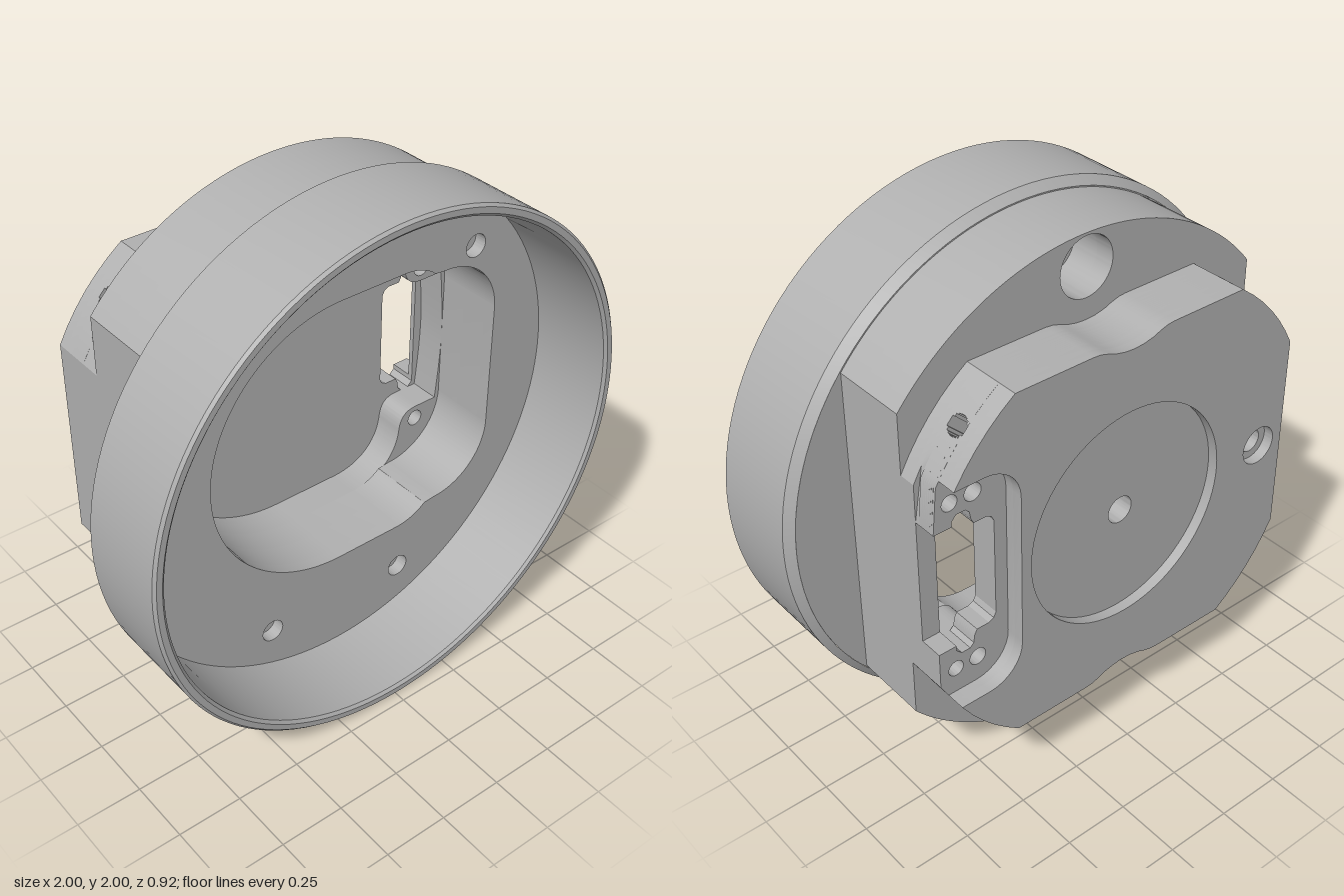
import * as THREE from 'three';
import { toCreasedNormals } from 'three/addons/utils/BufferGeometryUtils.js';

const PI = Math.PI;
const PAD_R = 0.84, PAD_X = 0.745, PAD_Y = 0.69;

// Circular hole at (x, y)
const hole = (x, y, r) => new THREE.Path().absarc(x, y, r, 0, 2 * PI, true);
const disc = (r) => new THREE.Shape().absarc(0, 0, r, 0, 2 * PI);

// Flange: disc with two flats
function flangeShape() {
  const r = 0.965, a = Math.acos(PAD_X / r), s = new THREE.Shape();
  s.absarc(0, 0, r, a, PI - a);
  s.absarc(0, 0, r, PI + a, 2 * PI - a);
  return s;
}

// Wide cavity mouth, including the side lobe
function wideCavity() {
  const p = new THREE.Path();
  p.absarc(0, 0, 0.555, PI / 2, 1.5 * PI);
  p.lineTo(0.28, -0.555);
  p.quadraticCurveTo(0.36, -0.55, 0.41, -0.505);
  p.absarc(0.46, -0.25, 0.25, -PI / 2, 0);
  p.absarc(0.46, 0.25, 0.25, 0, PI / 2);
  p.lineTo(0.41, 0.505);
  p.quadraticCurveTo(0.36, 0.55, 0.28, 0.555);
  return p;
}

// Deep cavity, narrowing around the screw bosses; optional bump on the -x wall
function deepCavity(bump) {
  const p = new THREE.Path(), a = 0.467;
  if (bump) {
    p.absarc(0, 0, 0.555, PI / 2, PI - a);
    p.bezierCurveTo(-0.495, 0.13, -0.43, 0.11, -0.4, 0.06);
    p.quadraticCurveTo(-0.355, 0, -0.4, -0.06);
    p.bezierCurveTo(-0.43, -0.11, -0.495, -0.13, -0.495, -0.25);
    p.absarc(0, 0, 0.555, PI + a, 1.5 * PI);
  } else p.absarc(0, 0, 0.555, PI / 2, 1.5 * PI);
  p.lineTo(0.28, -0.555);
  p.bezierCurveTo(0.42, -0.555, 0.5, -0.47, 0.51, -0.36);
  p.bezierCurveTo(0.52, -0.29, 0.56, -0.285, 0.6, -0.285);
  p.lineTo(0.69, -0.285);
  p.quadraticCurveTo(0.71, -0.1, 0.71, 0);
  p.quadraticCurveTo(0.71, 0.1, 0.69, 0.285);
  p.lineTo(0.6, 0.285);
  p.bezierCurveTo(0.56, 0.285, 0.52, 0.29, 0.51, 0.36);
  p.bezierCurveTo(0.5, 0.47, 0.42, 0.555, 0.28, 0.555);
  return p;
}

// Upper half of the slot outline, from the inner side outwards
const slotHalf = [[0.51, 0.19], [0.52, 0.21], [0.54, 0.22], [0.59, 0.22], [0.6, 0.24],
  [0.605, 0.27], [0.62, 0.285], [0.655, 0.285], [0.675, 0.265]];
const mirrorY = (pts) => pts.map(([x, y]) => [x, -y]).reverse();
const slotPoints = [...mirrorY(slotHalf), ...slotHalf];
const toVectors = (pts) => pts.map(([x, y]) => new THREE.Vector2(x, y));

// Pad outline from one mirrored quadrant. slit = half width of the radial holes
// at this level; side = contour of a recess cut in from the +x edge.
function padShape(slit = 0, side = null, sideY = 0) {
  const q = [], a0 = Math.acos(PAD_X / PAD_R), a1 = Math.asin(PAD_Y / PAD_R), mid = 0.756;
  const at = (a) => [PAD_R * Math.cos(a), PAD_R * Math.sin(a)];
  const arc = (from, to) => {
    for (let i = 0; i <= 6; i++) q.push(at(from + (to - from) * i / 6));
  };
  if (slit > 0) {
    const d = Math.asin(slit / PAD_R), c = Math.cos(mid), s = Math.sin(mid);
    arc(a0, mid - d);
    q.push([0.73 * c + slit * s, 0.73 * s - slit * c], [0.73 * c - slit * s, 0.73 * s + slit * c]);
    arc(mid + d, a1);
  } else arc(a0, a1);
  // shallow scallop beside the counterbore
  q.push([0.17, 0.69], [0.14, 0.687], [0.11, 0.678], [0.08, 0.666], [0.04, 0.657], [0, 0.654]);
  const flip = (sx, sy) => q.map(([x, y]) => [x * sx, y * sy]);
  let pts = [...q, ...flip(-1, 1).reverse().slice(1), ...flip(-1, -1),
    ...flip(1, -1).reverse().slice(1)];
  if (side) pts = [...pts.filter(([x, y]) => x < 0 || Math.abs(y) > sideY), ...side];
  return new THREE.Shape(toVectors(pts));
}

export function createModel() {
  const model = new THREE.Group();
  const grey = new THREE.MeshStandardMaterial({ color: 0xb0b0b0 });
  grey.name = 'machined grey';

  const add = (name, geometry) => {
    const mesh = new THREE.Mesh(toCreasedNormals(geometry, 0.45), grey);
    mesh.name = name;
    mesh.position.y = 1;
    model.add(mesh);
  };
  const slab = (name, shape, holes, z0, z1) => {
    shape.holes.push(...holes);
    const g = new THREE.ExtrudeGeometry(shape, { depth: z1 - z0, bevelEnabled: false, curveSegments: 40 });
    add(name, g.translate(0, 0, z0));
  };

  // Outer ring with chamfered edges
  const profile = [[0.97, 0.07], [1, 0.1], [1, 0.45], [0.99, 0.46], [0.968, 0.46], [0.957, 0.45], [0.957, 0.12]];
  add('outerRing', new THREE.LatheGeometry(toVectors(profile), 128).rotateX(PI / 2));

  // Ring floor with four blind screw holes
  const floorHoles = [[-0.62, 0.53], [0.595, 0.55], [-0.315, -0.745], [0.285, -0.755]]
    .map(([x, y]) => hole(x, y, 0.045));
  slab('ringFloor', disc(0.97), [wideCavity(), ...floorHoles], 0.07, 0.12);

  // Flange with flats; counterbores open to the back
  const bores = () => [hole(0, 0.845, 0.11), hole(0, -0.845, 0.11)];
  const screws = () => [hole(0.59, 0.34, 0.033), hole(0.59, -0.34, 0.033)];
  slab('flangeFront', flangeShape(), [wideCavity()], -0.04, 0.07);
  slab('flangeMiddle', flangeShape(), [wideCavity(), ...bores()], -0.15, -0.04);
  slab('flangeBack', flangeShape(), [deepCavity(false), ...screws(), ...bores()], -0.225, -0.15);

  // Pad: cavity bottom with the pin boss, then the cavity floor
  slab('padCavityWall', padShape(), [deepCavity(true), ...screws(), hole(-0.45, 0, 0.033)], -0.27, -0.225);
  slab('cavityFloor', padShape(), [new THREE.Path(toVectors(slotPoints)), ...screws()], -0.29, -0.27);

  // Pad core: slot open to the side, with radial holes stepped level by level
  const sideSlot = [[PAD_X, -0.388], [PAD_X, -0.245], [0.675, -0.245], ...mirrorY(slotHalf),
    ...slotHalf, [0.675, 0.245], [PAD_X, 0.245]];
  const coreHoles = () => [...screws(), hole(0.68, 0.34, 0.03), hole(0.68, -0.34, 0.03),
    hole(0, 0, 0.052), hole(-0.63, 0, 0.045)];
  const core = (slit, z0, z1) => slab('padCore', padShape(slit, sideSlot, 0.389), coreHoles(), z0, z1);
  const r = 0.037, steps = 8, zc = -0.343;
  for (let i = 0; i < steps; i++) {
    const z0 = zc - r + 2 * r * i / steps, z1 = z0 + 2 * r / steps;
    core(Math.sqrt(r * r - ((z0 + z1) / 2 - zc) ** 2), z0, z1);
  }
  core(0, zc + r, -0.29);

  // Pad face: connector pocket, round recess and pin holes
  const edge = Math.sqrt(PAD_R ** 2 - 0.44 ** 2);
  const pocketHalf = [];
  for (let i = 0; i <= 8; i++) {
    const a = PI - (PI / 2) * i / 8;
    pocketHalf.push([0.6 + 0.14 * Math.cos(a), 0.3 + 0.14 * Math.sin(a)]);
  }
  pocketHalf.push([edge, 0.44]);
  const pocket = [...mirrorY(pocketHalf), ...pocketHalf];
  slab('padFaceInner', padShape(0, pocket, 0.44), [hole(0, 0, 0.052), hole(-0.63, 0, 0.045)], -0.415, -0.38);
  slab('padFaceOuter', padShape(0, pocket, 0.44), [hole(0, 0, 0.42), hole(-0.63, 0, 0.075)], -0.455, -0.415);

  return model;
}
